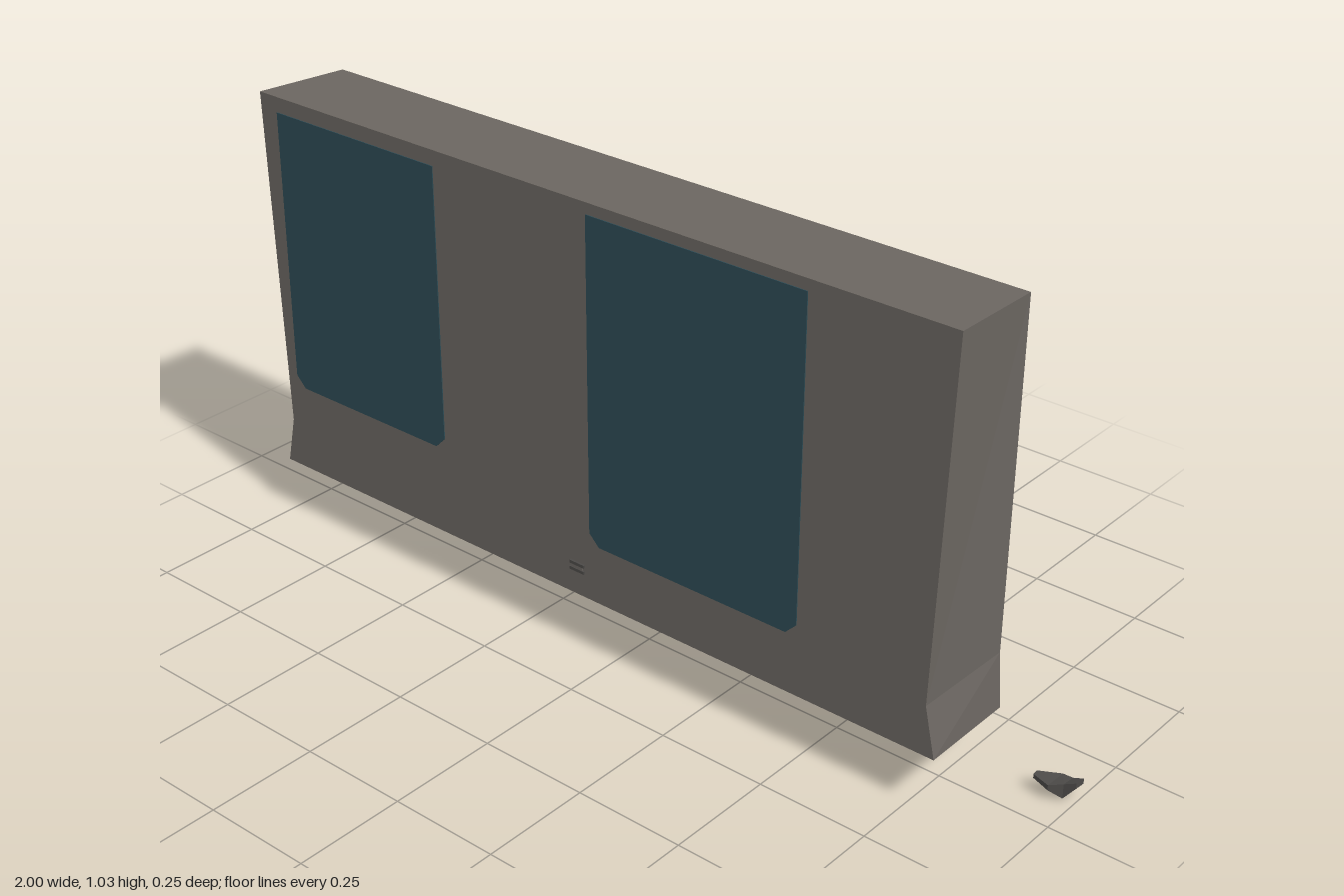
import * as THREE from 'three';

const mat = (name, color) => Object.assign(new THREE.MeshStandardMaterial({ color, flatShading: true }), { name });

// Closed solid skinned over four-cornered cross-sections (counter-clockwise seen from the end side)
function loft(rings) {
  const pos = [];
  const quad = (a, b, c, d) => pos.push(...a, ...b, ...c, ...a, ...c, ...d);
  for (let r = 0; r < rings.length - 1; r++) {
    for (let i = 0; i < 4; i++) {
      const j = (i + 1) % 4;
      quad(rings[r][i], rings[r][j], rings[r + 1][j], rings[r + 1][i]);
    }
  }
  const [a, b, c, d] = rings[0];
  quad(d, c, b, a);
  quad(...rings[rings.length - 1]);
  const g = new THREE.BufferGeometry();
  g.setAttribute('position', new THREE.Float32BufferAttribute(pos, 3));
  g.computeVertexNormals();
  return g;
}

export function createModel() {
  const group = new THREE.Group();
  const stone = mat('warm grey', 0x6b6661);
  const glass = mat('deep teal', 0x2d4b55);
  const dark = mat('dark grey', 0x4c4a48);

  const add = (name, geometry, material) => {
    const m = new THREE.Mesh(geometry, material);
    m.name = name;
    group.add(m);
    return m;
  };

  // Wall slab, pinched at a waist above its flared foot
  const front = 0.119, back = -0.112, mid = -0.095;
  const section = (yFront, yBack, halfFront, halfBack) => [
    [mid - halfFront, yFront, front], [mid + halfFront, yFront, front],
    [mid + halfBack, yBack, back], [mid - halfBack, yBack, back],
  ];
  add('wall', loft([
    section(0.132, 0.13, 0.905, 0.903),
    section(0.245, 0.255, 0.88, 0.893),
    section(1.035, 1.024, 0.905, 0.895),
  ]), stone);

  // Window panes with clipped lower corners
  for (const [name, x0, x1, y0, y1] of [
    ['rightWindow', -0.948, -0.478, 0.343, 1.0],
    ['leftWindow', -0.06, 0.478, 0.27, 1.01],
  ]) {
    const c = 0.026;
    const shape = new THREE.Shape([
      [x0 + c, y0], [x1 - c, y0], [x1, y0 + c], [x1, y1], [x0, y1], [x0, y0 + c],
    ].map(p => new THREE.Vector2(...p)));
    const pane = new THREE.ExtrudeGeometry(shape, { depth: 0.003, bevelEnabled: false });
    add(name, pane, glass).position.z = front - 0.001;
  }

  // Small latch on the front, two bars with a backing
  for (const y of [0.193, 0.208]) {
    add('latchBar', new THREE.BoxGeometry(0.04, 0.007, 0.006), dark).position.set(mid, y, front + 0.002);
  }
  add('latchBack', new THREE.BoxGeometry(0.03, 0.012, 0.003), stone).position.set(mid, 0.2, front + 0.002);

  // Loose bent fragment beside the wall
  const slice = (x, zFront, zBack, yFront, yBack, thick) => [
    [x, yFront - thick, zFront], [x, yBack - thick, zBack],
    [x, yBack, zBack], [x, yFront, zFront],
  ];
  add('fragment', loft([
    slice(0.915, -0.078, -0.09, 0.04, 0.042, 0.009),
    slice(0.953, -0.07, -0.125, 0.036, 0.033, 0.012),
    slice(0.976, -0.09, -0.125, 0.038, 0.034, 0.034),
    slice(1.0, -0.096, -0.124, 0.048, 0.044, 0.012),
  ]), dark);

  return group;
}
